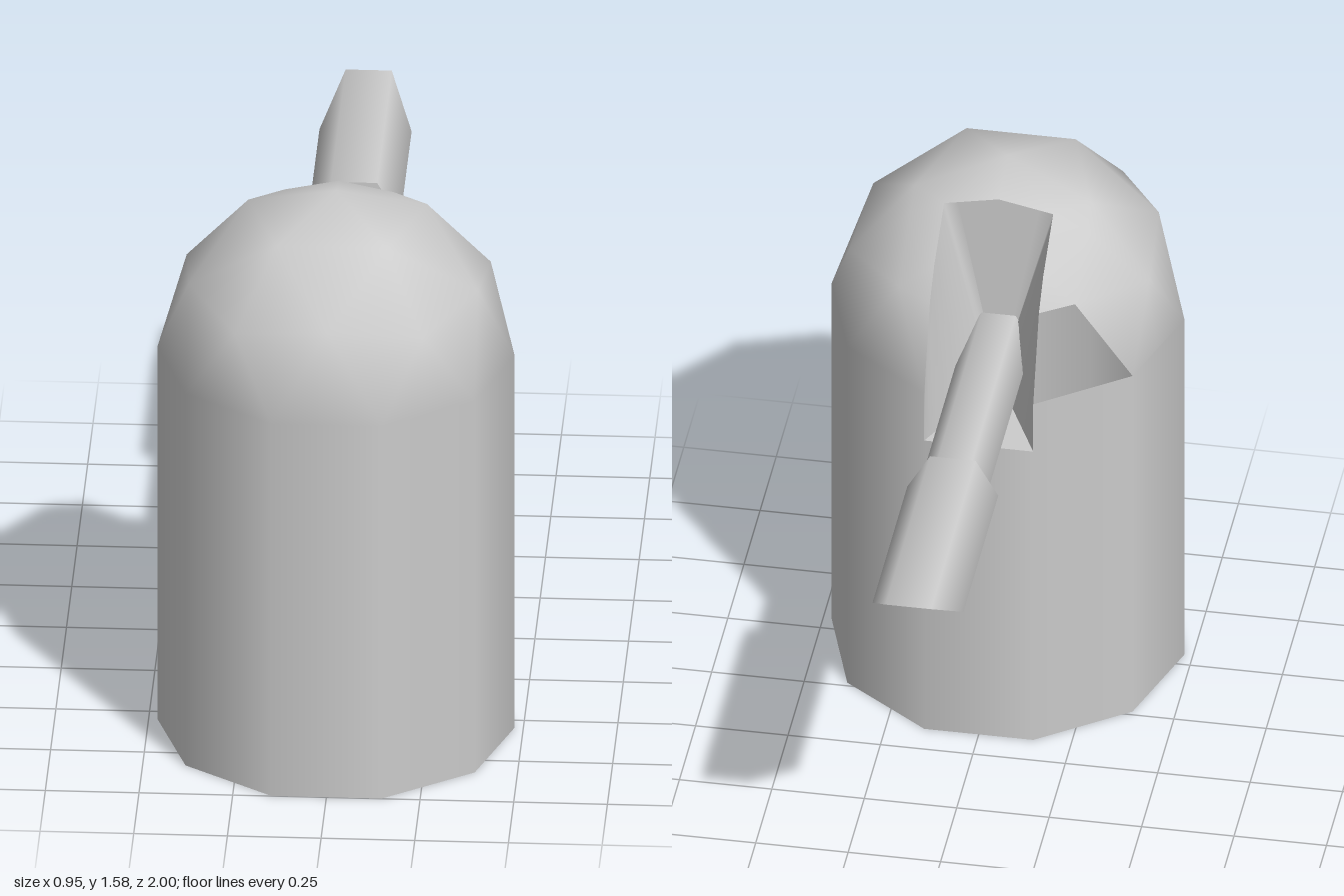
import * as THREE from 'three';

const R = 0.477, CZ = 0.545, EQ = 1.1;          // body radius, body centre z, dome base height
const SLOT_X = R * Math.cos(Math.PI * 0.4), SLOT_Z = 0.4, FLOOR = 0.945;
const rad = THREE.MathUtils.degToRad;

// Point on the dome, from polar angle and azimuth in degrees
const onDome = (polar, az) =>
  new THREE.Vector3().setFromSphericalCoords(R, rad(polar), rad(az)).add(new THREE.Vector3(0, EQ, CZ));

// Upper half of a once-subdivided icosahedron
function domeTriangles() {
  const T = onDome(0, 0), tris = [];
  for (let k = 0; k < 5; k++) {
    const f = 180 + 72 * k;
    const A = onDome(31.717, f), A2 = onDome(31.717, f + 72);
    const V = onDome(63.435, f), V2 = onDome(63.435, f + 72), M = onDome(58.283, f + 36);
    const E0 = onDome(90, f - 18), E1 = onDome(90, f + 18), E2 = onDome(90, f + 54);
    tris.push([T, A, A2], [A, V, M], [A, M, A2], [A2, M, V2],
      [V, E0, E1], [V, E1, M], [M, E1, E2], [M, E2, V2]);
  }
  return tris;
}

// Keep the part of a polygon where side(p) >= 0
function clip(poly, side) {
  const out = [];
  poly.forEach((p, i) => {
    const q = poly[(i + 1) % poly.length], a = side(p), b = side(q);
    if (a >= 0) out.push(p);
    if ((a > 1e-6 && b < -1e-6) || (a < -1e-6 && b > 1e-6)) out.push(p.clone().lerp(q, a / (a - b)));
  });
  return out;
}

// Height of the dome surface above (x, z)
function domeHeight(tris, x, z) {
  let best = EQ;
  const p = new THREE.Vector3(x, 0, z), bary = new THREE.Vector3();
  for (const t of tris) {
    const [a, b, c] = t.map(v => new THREE.Vector3(v.x, 0, v.z));
    if (!THREE.Triangle.getBarycoord(p, a, b, c, bary)) continue;
    if (Math.min(bary.x, bary.y, bary.z) < -1e-4) continue;
    best = Math.max(best, bary.x * t[0].y + bary.y * t[1].y + bary.z * t[2].y);
  }
  return best;
}

// Dome with the slot cut out of its back
function domeGeometry(tris) {
  const pos = [], nor = [];
  const behind = p => SLOT_Z - p.z;
  for (const t of tris) {
    const back = clip(t, behind);
    const pieces = [clip(t, p => p.z - SLOT_Z), clip(back, p => p.x - SLOT_X), clip(back, p => -p.x - SLOT_X)];
    for (const poly of pieces) {
      for (let i = 1; i < poly.length - 1; i++) {
        for (const p of [poly[0], poly[i], poly[i + 1]]) {
          pos.push(p.x, p.y, p.z);
          nor.push(...new THREE.Vector3(p.x, p.y - EQ, p.z - CZ).normalize().toArray());
        }
      }
    }
  }
  const g = new THREE.BufferGeometry();
  g.setAttribute('position', new THREE.Float32BufferAttribute(pos, 3));
  g.setAttribute('normal', new THREE.Float32BufferAttribute(nor, 3));
  return g;
}

// Slot walls: a strip from the rim down to the wedge-shaped floor
function slotWallGeometry(tris) {
  const N = 14, z0 = CZ - R * Math.sin(Math.PI * 0.4), pos = [], idx = [];
  const add = (x, z, bx) => pos.push(x, domeHeight(tris, x, z), z, bx, FLOOR, z);
  for (let i = 0; i <= N; i++) add(SLOT_X, z0 + (SLOT_Z - z0) * i / N, SLOT_X * (1 - i / N));
  for (let i = 1; i < 8; i++) add(SLOT_X * (1 - i / 4), SLOT_Z, 0);
  for (let i = N; i >= 0; i--) add(-SLOT_X, z0 + (SLOT_Z - z0) * i / N, -SLOT_X * (1 - i / N));
  for (let i = 0; i < pos.length / 6 - 1; i++) {
    const a = 2 * i;
    idx.push(a, a + 2, a + 1, a + 1, a + 2, a + 3);
  }
  const g = new THREE.BufferGeometry();
  g.setAttribute('position', new THREE.Float32BufferAttribute(pos, 3));
  g.setIndex(idx);
  // wind the strip so it faces into the slot
  g.computeVertexNormals();
  if (g.attributes.normal.getX(4) > 0) {
    for (let i = 0; i < idx.length; i += 3) [idx[i], idx[i + 1]] = [idx[i + 1], idx[i]];
    g.setIndex(idx);
    g.computeVertexNormals();
  }
  return g;
}

// Six-sided bar along z
function hexBar(radius, zFront, zBack) {
  const g = new THREE.CylinderGeometry(radius, radius, zFront - zBack, 6, 1, false, rad(30));
  return g.rotateX(-Math.PI / 2).translate(0, 0, (zFront + zBack) / 2);
}

export function createModel() {
  const group = new THREE.Group();
  const grey = new THREE.MeshStandardMaterial({ color: 0xcccccc, side: THREE.DoubleSide });
  grey.name = 'light grey';
  const add = (name, geometry, y = 0, z = 0) => {
    const m = new THREE.Mesh(geometry, grey);
    m.name = name;
    m.position.set(0, y, z);
    group.add(m);
  };
  const tris = domeTriangles();

  // Ten-sided open body; the back panel stops at the slot floor
  add('bodyWall', new THREE.CylinderGeometry(R, R, EQ, 9, 1, true, rad(198), rad(324)), EQ / 2, CZ);
  add('backPanel', new THREE.CylinderGeometry(R, R, FLOOR, 1, 1, true, rad(162), rad(36)), FLOOR / 2, CZ);
  add('dome', domeGeometry(tris));

  // Slot
  add('slotWalls', slotWallGeometry(tris));
  const z0 = CZ - R * Math.sin(Math.PI * 0.4);
  const floor = new THREE.Shape([
    new THREE.Vector2(-SLOT_X, -z0), new THREE.Vector2(0, -SLOT_Z), new THREE.Vector2(SLOT_X, -z0)]);
  add('slotFloor', new THREE.ShapeGeometry(floor).rotateX(-Math.PI / 2), FLOOR);

  // Barrel and its thicker, slant-cut sleeve
  add('barrel', hexBar(0.092, SLOT_Z + 0.01, -0.35), 1.08);
  const sleeve = hexBar(0.123, -0.31, -0.85);
  const p = sleeve.attributes.position, n = sleeve.attributes.normal;
  for (let i = 0; i < p.count; i++) {
    if (p.getZ(i) > -0.5) continue;
    p.setZ(i, -0.85 - 1.4 * p.getY(i));
    if (n.getZ(i) < -0.9) n.setXYZ(i, 0, -0.814, -0.581);
  }
  add('barrelSleeve', sleeve, 1.081);

  return group;
}
